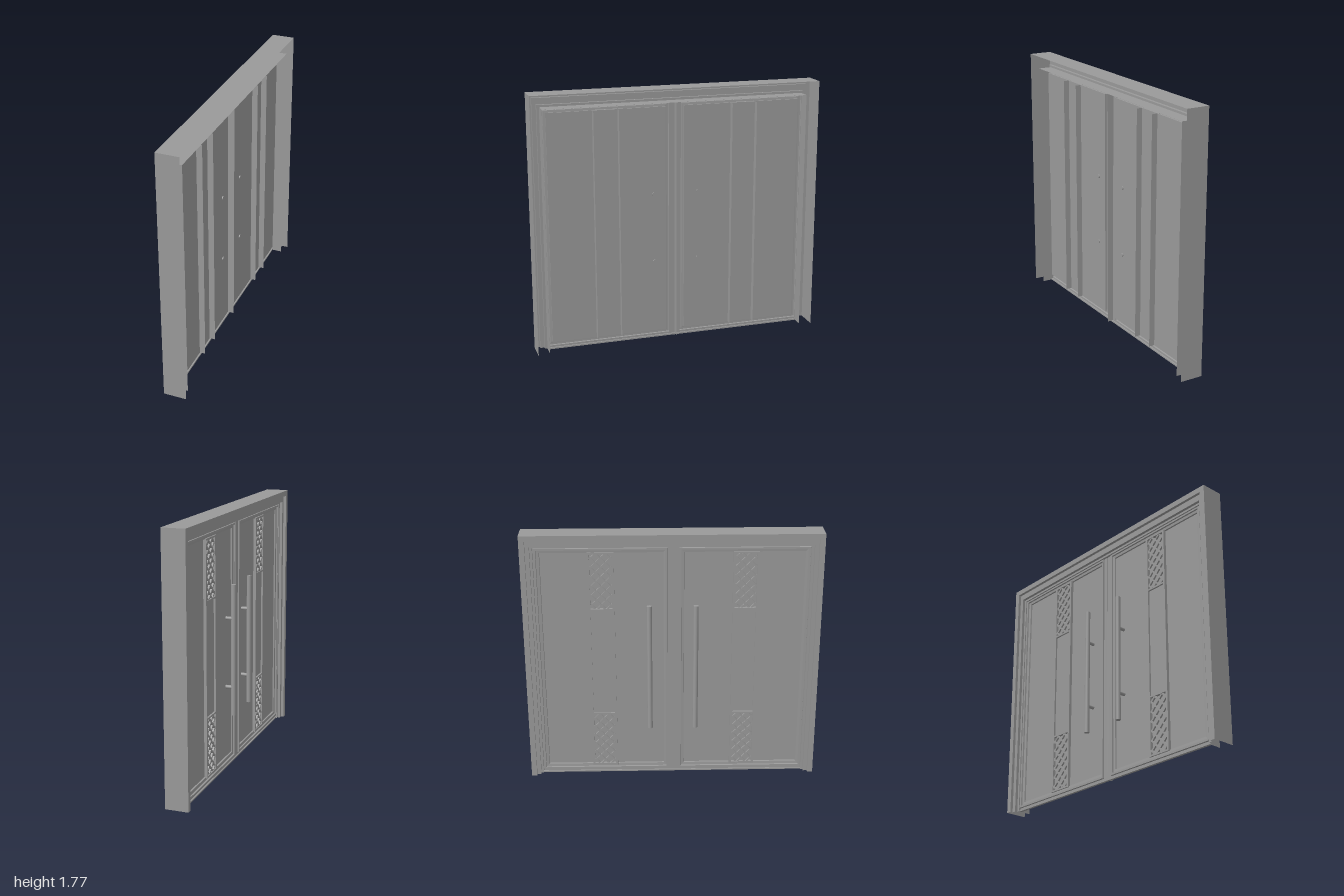
import * as THREE from 'three';

const H = 1.775;
const mat = new THREE.MeshStandardMaterial({ color: 0x999999, side: THREE.DoubleSide, flatShading: true });
const smooth = new THREE.MeshStandardMaterial({ color: 0x999999 });

function add(parent, name, geo, material = mat) {
  const mesh = new THREE.Mesh(geo, material);
  mesh.name = name;
  parent.add(mesh);
  return mesh;
}

// Box given by its limits
function box(parent, name, x0, x1, y0, y1, z0, z1) {
  const mesh = add(parent, name, new THREE.BoxGeometry(x1 - x0, y1 - y0, z1 - z0));
  mesh.position.set((x0 + x1) / 2, (y0 + y1) / 2, (z0 + z1) / 2);
}

// Mitred sheet joining rectangular loops [z0, z1, y0, y1, x]; openBottom leaves out the lower side
function loftRects(loops, openBottom) {
  const pos = [];
  const corners = ([z0, z1, y0, y1, x]) => [[x, y0, z0], [x, y1, z0], [x, y1, z1], [x, y0, z1]];
  for (let i = 0; i < loops.length - 1; i++) {
    const a = corners(loops[i]), b = corners(loops[i + 1]);
    for (let k = 0; k < (openBottom ? 3 : 4); k++) {
      const n = (k + 1) % 4;
      pos.push(...a[k], ...b[k], ...b[n], ...a[k], ...b[n], ...a[n]);
    }
  }
  const geo = new THREE.BufferGeometry();
  geo.setAttribute('position', new THREE.Float32BufferAttribute(pos, 3));
  geo.computeVertexNormals();
  return geo;
}

// Crossed diagonal bars filling a rectangle
function lattice(parent, z0, z1, y0, y1) {
  const g = new THREE.Group();
  g.name = 'lattice';
  parent.add(g);
  const w = z1 - z0, h = y1 - y0, step = 0.066;
  for (let c = -w + step / 2; c < h; c += step) {
    const a = Math.max(0, c), b = Math.min(h, c + w);
    if (b - a < 0.012) continue;
    const mid = (a + b) / 2;
    for (const s of [1, -1]) {
      const bar = add(g, 'latticeBar', new THREE.BoxGeometry(0.012, (b - a) * Math.SQRT2, 0.012));
      bar.position.set(-0.02, y0 + mid, s > 0 ? z0 + mid - c : z1 - mid + c);
      bar.rotation.x = s * Math.PI / 4;
    }
  }
}

// Pull bar on two standoffs that pass through the leaf
function handle(parent, z) {
  const g = new THREE.Group();
  g.name = 'handle';
  parent.add(g);
  const bar = add(g, 'handleBar', new THREE.CylinderGeometry(0.017, 0.017, 0.91, 24), smooth);
  bar.position.set(-0.066, 0.825, z);
  for (const y of [0.567, 1.047]) {
    const post = add(g, 'handleStandoff', new THREE.CylinderGeometry(0.012, 0.012, 0.074, 20), smooth);
    post.rotation.z = Math.PI / 2;
    post.position.set(-0.029, y, z);
  }
}

// One leaf: edge return, border with raised bead, flat panel, ornamental strip and handle
function doorLeaf(name, [z0, z1], bead, panel, strip, handleZ) {
  const g = new THREE.Group();
  g.name = name;
  const y0 = 0.008, y1 = 1.677;
  const loop = (t, x) => [
    ...bead.map((z, k) => z + (panel[k] - z) * t), 0.024 + 0.04 * t, 1.675 - 0.035 * t, x,
  ];

  add(g, 'leafEdge', loftRects([[z0, z1, y0, y1, 0.02], [z0, z1, y0, y1, -0.022]], true));
  add(g, 'leafBorder', loftRects([
    [z0, z1, y0, y1, -0.022], loop(0, -0.022), loop(0.05, -0.032),
    loop(0.4, -0.032), loop(0.45, -0.022), loop(0.95, -0.02), loop(1, -0.01),
  ]));
  box(g, 'leafPanel', -0.01, 0, 0.055, 1.645, panel[0] - 0.005, panel[1] + 0.005);

  // Strip: thin deep side walls, narrow face bars, lattice ends and a plain middle
  const [s0, s1] = strip, b = 0.055, t = 1.645, f = 0.014;
  for (const z of strip) {
    const wall = add(g, 'stripWall', new THREE.PlaneGeometry(0.045, t - b));
    wall.position.set(0.0175, (b + t) / 2, z);
  }
  for (const z of [s0, s1 - f]) box(g, 'stripFaceBar', -0.03, -0.008, b, t, z, z + f);
  for (const y of [b, 0.455, 1.235, t - 0.012]) {
    box(g, 'stripCrossBar', -0.03, -0.008, y, y + 0.012, s0 + f, s1 - f);
  }
  box(g, 'stripMiddle', -0.018, -0.008, 0.467, 1.235, s0 + f, s1 - f);
  lattice(g, s0 + f, s1 - f, b + 0.012, 0.455);
  lattice(g, s0 + f, s1 - f, 1.247, t - 0.012);
  handle(g, handleZ);
  return g;
}

export function createModel() {
  const model = new THREE.Group();
  model.name = 'doubleDoor';

  // Stepped sheet frame, open at the floor and on its +x side
  const step = (z, y, x) => [-z, z, 0, y, x];
  add(model, 'doorFrame', loftRects([
    step(1, H, 0.083), step(1, H, -0.075), step(0.963, 1.737, -0.075),
    step(0.963, 1.737, -0.055), step(0.935, 1.694, -0.055), step(0.935, 1.694, -0.035),
    step(0.918, 1.679, -0.035), step(0.918, 1.679, 0.06),
  ], true));
  box(model, 'threshold', -0.03, -0.012, 0, 0.01, -0.918, 0.918);

  // The two leaves meet near the middle
  model.add(doorLeaf('leftLeaf', [0.006, 0.916], [0.046, 0.914], [0.08, 0.88], [0.405, 0.577], 0.158));
  model.add(doorLeaf('rightLeaf', [-0.917, 0.004], [-0.915, -0.03], [-0.874, -0.06], [-0.563, -0.387], -0.155));
  return model;
}
